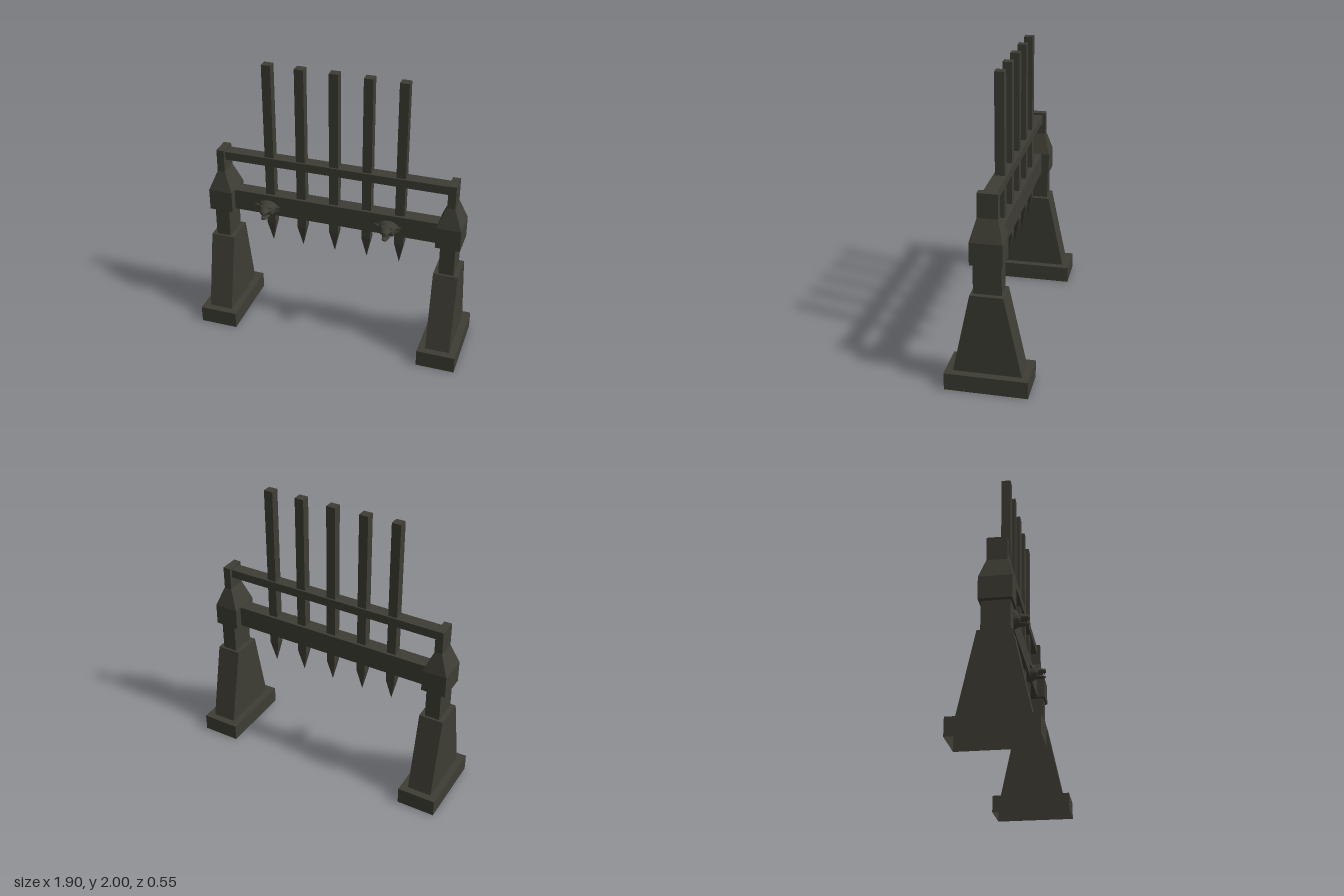
import * as THREE from 'three';

const iron = new THREE.MeshStandardMaterial({ color: 0x3e3d35, side: THREE.DoubleSide });
iron.name = 'dark iron';

function add(parent, name, geometry, x = 0, y = 0, z = 0) {
  const mesh = new THREE.Mesh(geometry, iron);
  mesh.name = name;
  mesh.position.set(x, y, z);
  parent.add(mesh);
  return mesh;
}

// Box between two heights whose bottom and top half sizes may differ
function block(y0, y1, bottom, top = bottom) {
  const geometry = new THREE.BoxGeometry(2, 2, 2);
  const p = geometry.attributes.position;
  for (let i = 0; i < p.count; i++) {
    const up = p.getY(i) > 0;
    const [w, d] = up ? top : bottom;
    p.setXYZ(i, p.getX(i) * w, up ? y1 : y0, p.getZ(i) * d);
  }
  geometry.computeVertexNormals();
  return geometry;
}

// Smooth tube along z through elliptical sections [z, centre y, x radius, y radius]
function loft(sections, sides = 20) {
  const pos = [], index = [];
  for (const [z, cy, rx, ry] of sections) {
    for (let j = 0; j < sides; j++) {
      const a = (j / sides) * Math.PI * 2;
      pos.push(Math.cos(a) * rx, cy + Math.sin(a) * ry, z);
    }
  }
  for (let i = 0; i < sections.length - 1; i++) {
    for (let j = 0; j < sides; j++) {
      const a = i * sides + j, b = i * sides + (j + 1) % sides;
      index.push(a, b, a + sides, b, b + sides, a + sides);
    }
  }
  const geometry = new THREE.BufferGeometry();
  geometry.setAttribute('position', new THREE.Float32BufferAttribute(pos, 3));
  geometry.setIndex(index);
  geometry.computeVertexNormals();
  return geometry;
}

function ball(parent, name, x, y, z, sx, sy, sz) {
  add(parent, name, new THREE.SphereGeometry(1, 12, 8), x, y, z).scale.set(sx, sy, sz);
}

// Beast head with an open mouth, looking along +z
function beastHead() {
  const head = new THREE.Group();
  head.name = 'beastHead';
  add(head, 'skull', loft([
    [0.04, 0.0, 0.085, 0.06], [0.055, 0.0, 0.078, 0.058], [0.075, 0.002, 0.06, 0.05],
    [0.092, 0.005, 0.045, 0.04], [0.108, 0.01, 0.036, 0.027], [0.128, 0.01, 0.028, 0.018],
    [0.146, 0.008, 0.023, 0.014], [0.155, 0.006, 0.015, 0.009], [0.157, 0.005, 0.001, 0.001],
  ]));
  add(head, 'lowerJaw', loft([
    [0.06, -0.03, 0.04, 0.018], [0.1, -0.036, 0.028, 0.011], [0.135, -0.04, 0.021, 0.007],
    [0.152, -0.037, 0.014, 0.007], [0.155, -0.036, 0.001, 0.001],
  ]));
  ball(head, 'nose', 0, 0.018, 0.147, 0.014, 0.008, 0.009);
  for (const s of [-1, 1]) {
    ball(head, 'brow', s * 0.026, 0.03, 0.094, 0.018, 0.009, 0.014);
    ball(head, 'cheek', s * 0.036, -0.015, 0.083, 0.018, 0.022, 0.018);
    const ear = add(head, 'ear', new THREE.ConeGeometry(0.018, 0.05, 10), s * 0.078, 0.018, 0.058);
    ear.rotation.z = -s * 1.25;
    const fang = add(head, 'fang', new THREE.ConeGeometry(0.004, 0.022, 8), s * 0.015, -0.01, 0.143);
    fang.rotation.x = Math.PI;
  }
  return head;
}

// Stepped pillar, with a footing that is open underneath
function pillar() {
  const group = new THREE.Group();
  const footing = block(0, 0.12, [0.135, 0.276]);
  const faces = Array.from(footing.index.array);
  faces.splice(18, 6);
  footing.setIndex(faces);
  add(group, 'footing', footing);
  add(group, 'taperedLeg', block(0.12, 0.675, [0.085, 0.226], [0.085, 0.108]));
  add(group, 'neck', block(0.675, 0.885, [0.052, 0.092]));
  add(group, 'capBlock', block(0.885, 1.037, [0.085, 0.106]));
  add(group, 'capTaper', block(1.037, 1.18, [0.085, 0.106], [0.027, 0.066]));
  add(group, 'capPost', block(1.18, 1.342, [0.027, 0.066]));
  return group;
}

export function createModel() {
  const model = new THREE.Group();
  model.name = 'spikedGate';

  for (const s of [-1, 1]) {
    const p = pillar();
    p.name = s > 0 ? 'leftPillar' : 'rightPillar';
    p.position.x = s * 0.816;
    model.add(p);
  }

  // Crossing members
  add(model, 'beam', block(0.886, 1.037, [0.74, 0.05]));
  add(model, 'rail', block(1.266, 1.326, [0.795, 0.044]));

  // Square bars ending in spikes
  for (const x of [-0.467, -0.24, -0.004, 0.23, 0.464]) {
    const bar = new THREE.Group();
    bar.name = 'spikedBar';
    add(bar, 'shaft', block(0.81, 2, [0.032, 0.031]));
    add(bar, 'spike', block(0.65, 0.81, [0.0005, 0.0005], [0.032, 0.031]));
    bar.position.x = x;
    model.add(bar);
  }

  // Heads on the front of the beam
  for (const x of [-0.48, 0.393]) {
    const head = beastHead();
    head.position.set(x, 0.938, 0);
    model.add(head);
  }
  return model;
}
